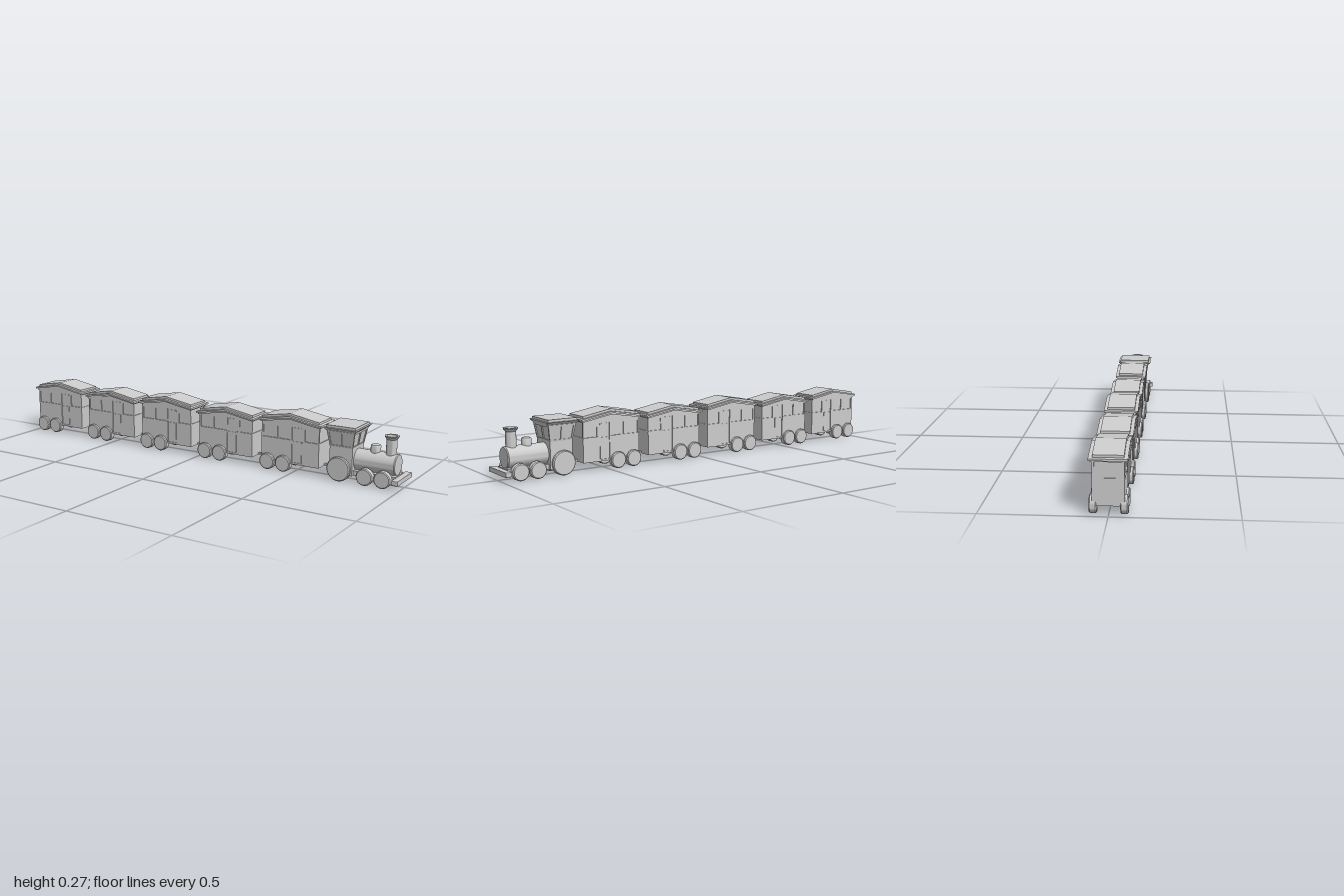
import * as THREE from 'three';
import { toCreasedNormals } from 'three/addons/utils/BufferGeometryUtils.js';

const grey = new THREE.MeshStandardMaterial({ color: 0xcccccc, side: THREE.DoubleSide });

function add(parent, name, geometry, x = 0, y = 0, z = 0) {
  const mesh = new THREE.Mesh(geometry, grey);
  mesh.name = name;
  mesh.position.set(x, y, z);
  parent.add(mesh);
  return mesh;
}

// Box given by its limits
function block(parent, name, x0, x1, y0, y1, z0, z1) {
  return add(parent, name, new THREE.BoxGeometry(x1 - x0, y1 - y0, z1 - z0),
    (x0 + x1) / 2, (y0 + y1) / 2, (z0 + z1) / 2);
}

const lathe = (points, segments = 32) => toCreasedNormals(
  new THREE.LatheGeometry(points.map(p => new THREE.Vector2(...p)), segments), 0.6);

// Outline in x and y, with rectangular holes [x0, x1, y0, y1], extruded along z
function panel(points, z0, z1, holes = []) {
  const shape = new THREE.Shape(points.map(p => new THREE.Vector2(...p)));
  for (const [x0, x1, y0, y1] of holes) {
    shape.holes.push(new THREE.Path([[x0, y0], [x0, y1], [x1, y1], [x1, y0]]
      .map(p => new THREE.Vector2(...p))));
  }
  return new THREE.ExtrudeGeometry(shape, { depth: z1 - z0, bevelEnabled: false }).translate(0, 0, z0);
}

// Pair of wheels with rounded rims, joined by an axle
function wheelPair(parent, name, x, r) {
  const profile = [[0, -0.015], [r - 0.004, -0.015], [r, -0.011], [r, 0.011], [r - 0.004, 0.015], [0, 0.015]];
  for (const side of [-1, 1]) {
    add(parent, name, lathe(profile), x, r + 0.001, side * 0.06).rotation.x = Math.PI / 2;
  }
  const axle = add(parent, 'axle', new THREE.CylinderGeometry(0.006, 0.006, 0.1, 12), x, r + 0.001, 0);
  axle.rotation.x = Math.PI / 2;
}

// Roof layer pitched towards both ends of the carriage
function roofLayer(parent, name, half, depth, apex, thick) {
  const eave = apex - half * 0.17;
  add(parent, name, panel([[-half, eave - thick], [0, apex - thick], [half, eave - thick],
    [half, eave], [0, apex], [-half, eave]], -depth, depth));
}

function carriage(x, lift) {
  const car = new THREE.Group();
  car.name = 'carriage';
  car.position.x = x;
  const L = 0.142, base = 0.04, belt = 0.15;
  const outline = (half, inset) => [[-half, base + inset], [half, base + inset],
    [half, 0.216 + lift], [0, 0.24 + lift], [-half, 0.216 + lift]];

  add(car, 'carriageCore', panel(outline(L - 0.003, 0), -0.058, 0.058));

  // Side walls with two rear windows, a doorway and a front window
  const openings = [[-0.134, -0.07, belt, 0.205], [-0.062, 0.0, belt, 0.205],
    [0.01, 0.062, 0.048, 0.21], [0.074, 0.134, belt, 0.205]];
  for (const s of [-1, 1]) {
    add(car, 'sideWall', panel(outline(L, 0), s > 0 ? 0.058 : -0.062, s > 0 ? 0.062 : -0.058, openings));
    const zs = (a, b) => s > 0 ? [a, b] : [-b, -a];
    block(car, 'door', 0.015, 0.057, 0.05, 0.145, ...zs(0.057, 0.06));
    block(car, 'doorRail', 0.015, 0.057, 0.2, 0.207, ...zs(0.057, 0.06));
    block(car, 'beltTrim', -L, 0.008, belt - 0.005, belt, ...zs(0.061, 0.0635));
    block(car, 'beltTrim', 0.064, L, belt - 0.005, belt, ...zs(0.061, 0.0635));

    // End wall: solid lower panel and corner posts
    const xs = (a, b) => s > 0 ? [a, b] : [-b, -a];
    block(car, 'endPanel', ...xs(L - 0.004, L), base, belt, -0.06, 0.06);
    for (const z of [-0.057, 0.057]) {
      block(car, 'endPost', ...xs(L - 0.004, L), belt, 0.213 + lift, z - 0.004, z + 0.004);
    }
  }

  // Stepped roof
  roofLayer(car, 'roofTrim', 0.146, 0.068, 0.246 + lift, 0.007);
  roofLayer(car, 'roofEaves', 0.153, 0.075, 0.254 + lift, 0.008);
  roofLayer(car, 'roofTop', 0.14, 0.06, 0.264 + lift, 0.011);

  wheelPair(car, 'carriageWheel', -0.11, 0.037);
  wheelPair(car, 'carriageWheel', -0.03, 0.037);
  block(car, 'coupling', L - 0.005, 0.196, 0.041, 0.049, -0.006, 0.006);
  return car;
}

// Widens the upper cab towards the roof
function flare(geometry) {
  const p = geometry.attributes.position;
  for (let i = 0; i < p.count; i++) {
    const t = Math.max(0, (p.getY(i) - 0.15) / 0.072);
    p.setX(i, p.getX(i) * (1 + 0.23 * t));
    p.setZ(i, p.getZ(i) * (1 + 0.2 * t));
  }
  geometry.computeVertexNormals();
  return geometry;
}

function cab() {
  const g = new THREE.Group();
  g.name = 'cab';
  g.position.x = 0.732;
  const H = 0.053, D = 0.061;
  block(g, 'cabLower', -H, H, 0.03, 0.15, -D, D);
  add(g, 'cabGlazing', flare(new THREE.BoxGeometry(2 * H - 0.008, 0.072, 2 * D - 0.008).translate(0, 0.186, 0)));

  // Upper walls, each with two window openings
  const wall = (half, z0, z1) => panel([[-half, 0.15], [half, 0.15], [half, 0.222], [-half, 0.222]], z0, z1,
    [[-half + 0.007, -0.003, 0.157, 0.213], [0.003, half - 0.007, 0.157, 0.213]]);
  for (const s of [-1, 1]) {
    add(g, 'cabSide', flare(wall(H, s > 0 ? D - 0.004 : -D, s > 0 ? D : -D + 0.004)));
    add(g, 'cabEnd', flare(wall(D, s > 0 ? H - 0.004 : -H, s > 0 ? H : -H + 0.004).rotateY(Math.PI / 2)));
  }

  // Roof with undercut eaves and a shallow upper step
  const eaves = new THREE.BoxGeometry(0.154, 0.012, 0.17);
  const p = eaves.attributes.position;
  for (let i = 0; i < p.count; i++) {
    if (p.getY(i) < 0) p.setXYZ(i, p.getX(i) * 0.88, p.getY(i), p.getZ(i) * 0.87);
  }
  eaves.computeVertexNormals();
  add(g, 'cabEaves', eaves, 0, 0.229, 0);
  block(g, 'cabRoof', -0.068, 0.068, 0.235, 0.246, -0.075, 0.075);
  return g;
}

function locomotive() {
  const loco = new THREE.Group();
  loco.name = 'locomotive';
  loco.add(cab());

  // Boiler with a smoothly rounded front edge
  const boiler = add(loco, 'boiler', lathe([[0, 0], [0.047, 0], [0.047, 0.183], [0.044, 0.187], [0, 0.187]], 40), 0.782, 0.094, 0);
  boiler.rotation.z = -Math.PI / 2;

  // Frame and front buffer beam
  block(loco, 'frame', 0.68, 0.975, 0.03, 0.052, -0.046, 0.046);
  const beam = new THREE.Shape();
  const w = 0.085, r = 0.005;
  beam.moveTo(-w + r, 0.026).lineTo(w - r, 0.026).quadraticCurveTo(w, 0.026, w, 0.026 + r)
    .lineTo(w, 0.047 - r).quadraticCurveTo(w, 0.047, w - r, 0.047).lineTo(-w + r, 0.047)
    .quadraticCurveTo(-w, 0.047, -w, 0.047 - r).lineTo(-w, 0.026 + r)
    .quadraticCurveTo(-w, 0.026, -w + r, 0.026);
  add(loco, 'bufferBeam', new THREE.ExtrudeGeometry(beam, { depth: 0.028, bevelEnabled: false }), 0.972)
    .rotation.y = Math.PI / 2;

  // Steam dome and hollow flared chimney
  add(loco, 'steamDome', lathe([[0.022, 0], [0.022, 0.036], [0.019, 0.041], [0.011, 0.044], [0, 0.045]]), 0.865, 0.128, 0);
  add(loco, 'chimney', lathe([[0.023, 0], [0.023, 0.075], [0.031, 0.086], [0.031, 0.09],
    [0.022, 0.09], [0.018, 0.06], [0, 0.06]]), 0.935, 0.128, 0);

  wheelPair(loco, 'drivingWheel', 0.725, 0.054);
  wheelPair(loco, 'leadingWheel', 0.845, 0.037);
  wheelPair(loco, 'leadingWheel', 0.925, 0.037);
  return loco;
}

export function createModel() {
  const train = new THREE.Group();
  train.name = 'train';
  train.add(locomotive());
  [0, -0.006, 0.004, -0.006, 0.004].forEach((lift, i) => train.add(carriage(-0.846 + i * 0.333, lift)));
  return train;
}
